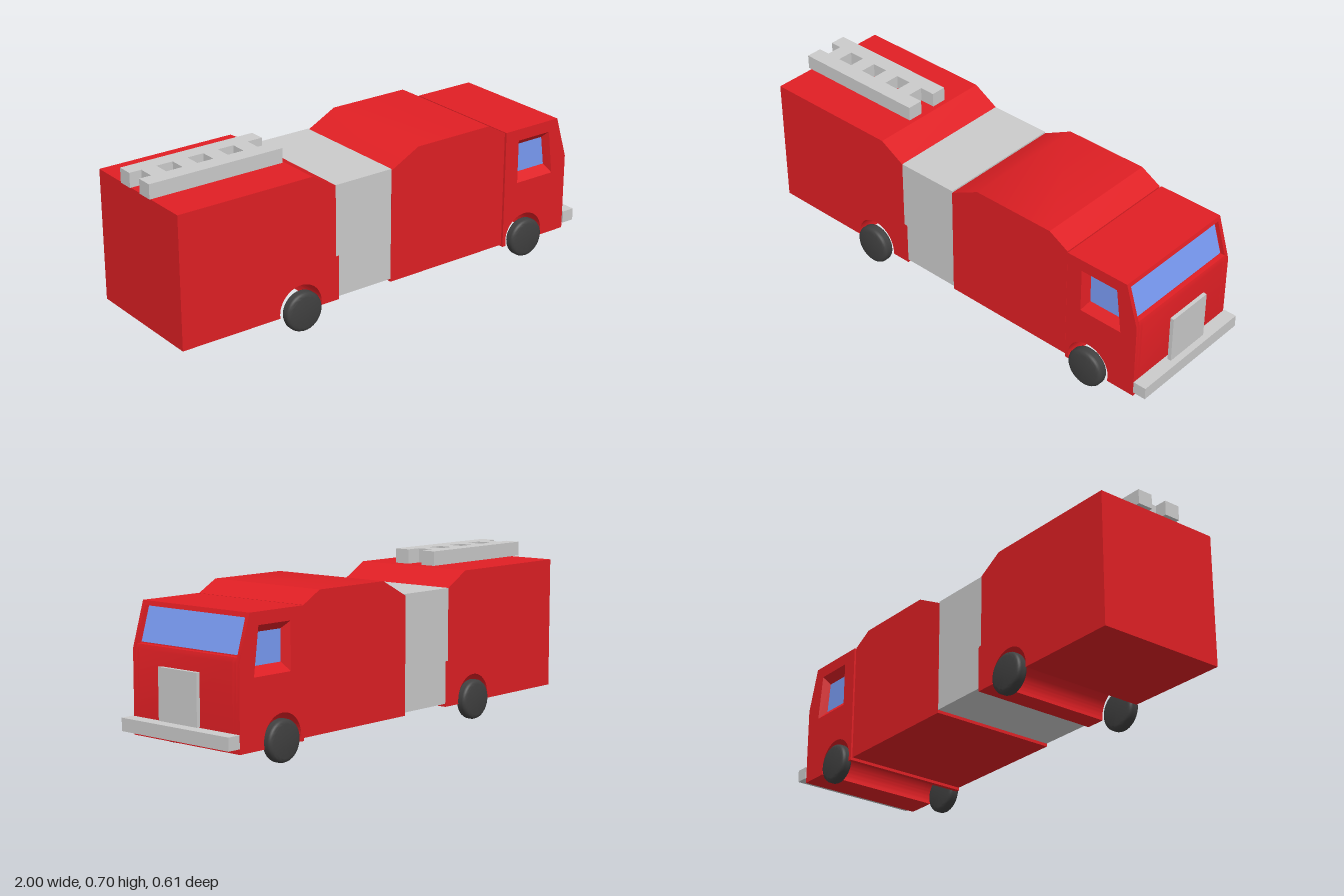
import * as THREE from 'three';
import { toCreasedNormals } from 'three/addons/utils/BufferGeometryUtils.js';

const mat = (color, extra = {}) => new THREE.MeshStandardMaterial({ color, ...extra });
const RED = mat(0xe01f24), GREY = mat(0xcccccc), GLASS = mat(0x7a9cf5, { side: THREE.DoubleSide });
const RED_THIN = mat(0xe01f24, { side: THREE.DoubleSide });
const TYRE = mat(0x404040);
const ARCH_R = 0.1, AXLE_Y = 0.09, MID_Z = -0.005;

export function createModel() {
  const truck = new THREE.Group();
  truck.name = 'fireEngine';

  const add = (name, geometry, material, parent = truck) => {
    const mesh = new THREE.Mesh(geometry, material);
    mesh.name = name;
    parent.add(mesh);
    return mesh;
  };
  const box = (name, x0, x1, y0, y1, z0, z1, material = GREY, parent = truck) =>
    add(name, new THREE.BoxGeometry(x1 - x0, y1 - y0, z1 - z0), material, parent)
      .position.set((x0 + x1) / 2, (y0 + y1) / 2, (z0 + z1) / 2);

  // Side profile; the bottom edge runs first and may carry a wheel arch
  const profile = (x0, x1, bottom, upper, archX) => {
    const s = new THREE.Shape();
    s.moveTo(x0, bottom);
    if (archX !== undefined) {
      const a = Math.asin((bottom - AXLE_Y) / ARCH_R);
      s.lineTo(archX - ARCH_R * Math.cos(a), bottom);
      s.absarc(archX, AXLE_Y, ARCH_R, Math.PI - a, a, true);
    }
    s.lineTo(x1, bottom);
    upper.forEach(([x, y]) => s.lineTo(x, y));
    s.closePath();
    return s;
  };
  const slab = (name, shape, z0, z1, parent = truck) => {
    const g = new THREE.ExtrudeGeometry(shape, { depth: z1 - z0, bevelEnabled: false, curveSegments: 28 });
    g.translate(0, 0, z0);
    return add(name, toCreasedNormals(g, 0.5), RED, parent);
  };

  // Rear body, pump section and crew section
  slab('rearBody', profile(-0.99, -0.26, 0.075,
    [[-0.26, 0.265], [-0.275, 0.265], [-0.275, 0.567], [-0.385, 0.63], [-0.99, 0.63]], -0.445), -0.285, 0.275);
  box('pumpSection', -0.275, 0, 0.088, 0.567, -0.284, 0.274);
  slab('crewSection', profile(0, 0.595, 0.075,
    [[0.595, 0.58], [0.505, 0.63], [0.135, 0.63], [0, 0.56]]), -0.285, 0.275);

  // Cab: outer skins, an inner layer with the windscreen recess, and a core
  const cab = new THREE.Group();
  cab.name = 'cab';
  truck.add(cab);
  const full = [[0.94, 0.4], [0.885, 0.58], [0.6, 0.58]];
  const notched = [[0.94, 0.4], [0.934, 0.42], [0.914, 0.42], [0.87, 0.563], [0.89, 0.563], [0.885, 0.58], [0.6, 0.58]];
  const outer = [[0.67, 0.34], [0.865, 0.34], [0.84, 0.53], [0.67, 0.53]];
  const inner = [[0.69, 0.375], [0.845, 0.375], [0.828, 0.5], [0.69, 0.5]];
  const cabShape = (upper, hole) => {
    const s = profile(0.6, 0.94, 0.065, upper, 0.715);
    if (hole) s.holes.push(new THREE.Path(outer.map(p => new THREE.Vector2(...p))));
    return s;
  };
  const HALF = 0.285, SKIN = 0.017, DEPTH = 0.035;
  const core = HALF - DEPTH;
  slab('cabCore', cabShape(notched, false), MID_Z - core, MID_Z + core, cab);

  for (const side of [1, -1]) {
    const z = d => MID_Z + side * (HALF - d);
    const layer = (name, upper, d0, d1) =>
      slab(name, cabShape(upper, true), Math.min(z(d0), z(d1)), Math.max(z(d0), z(d1)), cab);
    layer('cabSideSkin', full, 0, SKIN);
    layer('cabSideInner', notched, SKIN, DEPTH);

    // Tapered window reveal
    const verts = [];
    outer.forEach((o, i) => {
      const j = (i + 1) % 4;
      const a = [...o, z(0)], b = [...outer[j], z(0)];
      const c = [...inner[j], z(DEPTH - 0.002)], d = [...inner[i], z(DEPTH - 0.002)];
      verts.push(...a, ...b, ...c, ...a, ...c, ...d);
    });
    const reveal = new THREE.BufferGeometry();
    reveal.setAttribute('position', new THREE.Float32BufferAttribute(verts, 3));
    reveal.computeVertexNormals();
    add('sideWindowReveal', reveal, RED_THIN, cab);

    const pane = new THREE.ShapeGeometry(new THREE.Shape(inner.map(p => new THREE.Vector2(...p))));
    add('sideWindow', pane, GLASS, cab).position.z = z(DEPTH - 0.002);
  }

  // Windscreen, leaning with the cab front
  const lean = Math.atan2(0.044, 0.143);
  const screen = add('windscreen', new THREE.BoxGeometry(0.004, 0.14, 0.526), GLASS, cab);
  screen.position.set(0.893, 0.4915, MID_Z);
  screen.rotation.z = lean;

  // Grille and bumper
  box('grille', 0.962, 0.978, 0.147, 0.352, -0.106, 0.1);
  box('frontBumper', 0.943, 1, 0.087, 0.139, -0.292, 0.284);

  // Roof ladder
  const ladder = new THREE.Group();
  ladder.name = 'roofLadder';
  truck.add(ladder);
  box('ladderRail', -1, -0.4, 0.635, 0.696, 0.031, 0.1, GREY, ladder);
  box('ladderRail', -1, -0.4, 0.635, 0.696, -0.106, -0.039, GREY, ladder);
  for (let i = 0; i < 4; i++) {
    const x = -0.915 + i * 0.138;
    box('ladderRung', x - 0.033, x + 0.033, 0.635, 0.696, -0.039, 0.031, GREY, ladder);
  }

  // Wheels with rounded shoulders
  const half = [[0, 0.025], [0.066, 0.025], [0.074, 0.023], [0.08, 0.018], [0.0835, 0.01]];
  const section = [...half, ...half.map(([r, h]) => [r, -h]).reverse()].reverse();
  const wheelGeo = toCreasedNormals(
    new THREE.LatheGeometry(section.map(p => new THREE.Vector2(...p)), 36).rotateX(Math.PI / 2), 0.6);
  for (const x of [-0.445, 0.715])
    for (const side of [1, -1])
      add(x > 0 ? 'frontWheel' : 'rearWheel', wheelGeo, TYRE).position.set(x, 0.0835, side * 0.282);

  return truck;
}
